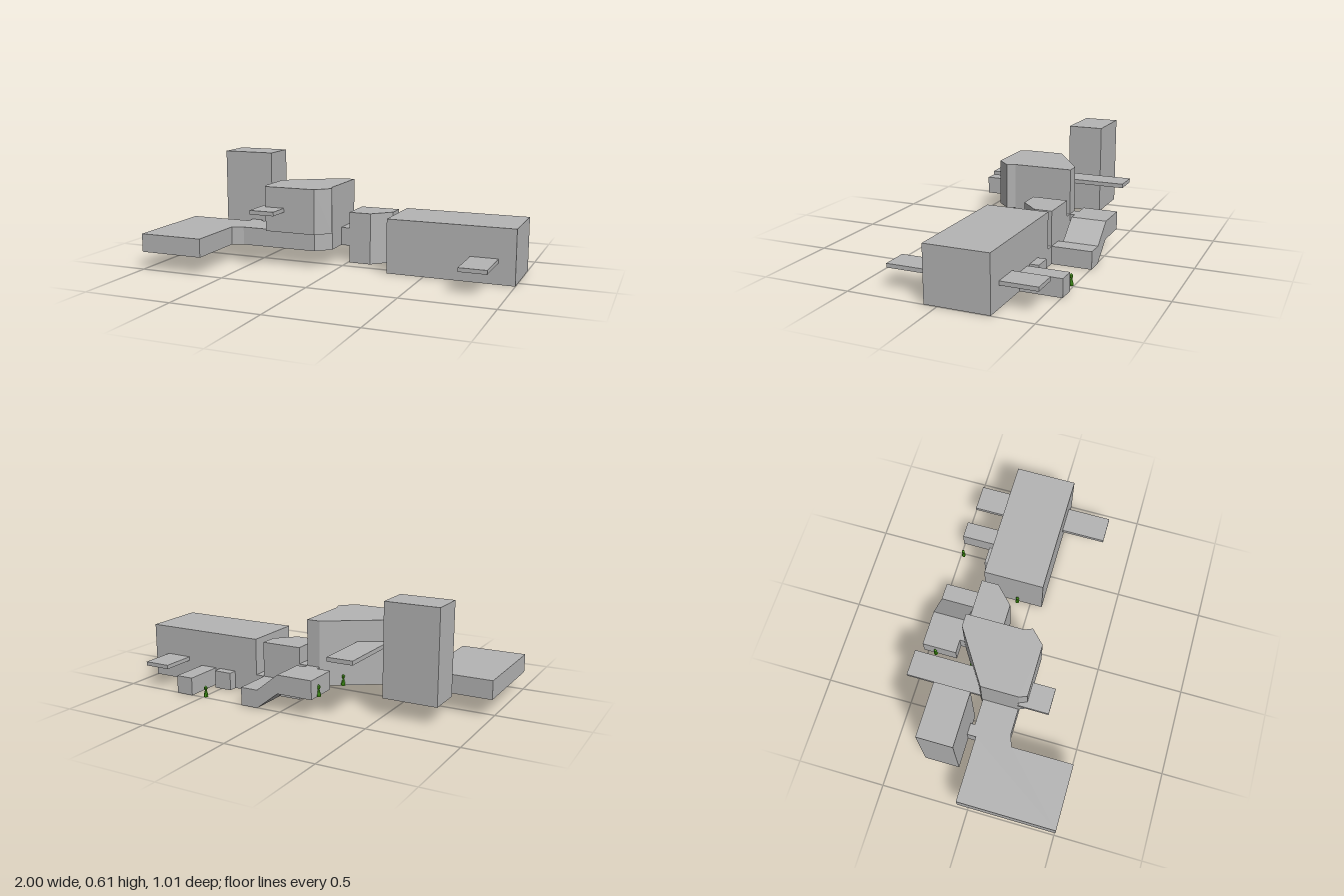
import * as THREE from 'three';

export function createModel() {
  const model = new THREE.Group();
  const grey = new THREE.MeshStandardMaterial({ color: 0xb4b4b4 });
  grey.name = 'wall grey';
  const green = new THREE.MeshStandardMaterial({ color: 0x46a012, flatShading: true });
  green.name = 'marker green';

  function add(name, geometry, material = grey) {
    const mesh = new THREE.Mesh(geometry, material);
    mesh.name = name;
    model.add(mesh);
    return mesh;
  }

  // Box given by its limits on each axis
  function block(name, x0, x1, y0, y1, z0, z1) {
    add(name, new THREE.BoxGeometry(x1 - x0, y1 - y0, z1 - z0))
      .position.set((x0 + x1) / 2, (y0 + y1) / 2, (z0 + z1) / 2);
  }

  // Upright prism over a floor plan of [x, z] corners
  function prism(name, plan, y0, y1) {
    const shape = new THREE.Shape(plan.map(([x, z]) => new THREE.Vector2(x, -z)));
    const geometry = new THREE.ExtrudeGeometry(shape, { depth: y1 - y0, bevelEnabled: false });
    geometry.rotateX(-Math.PI / 2).translate(0, y0, 0);
    add(name, geometry);
  }

  // Large hall with its two thin ledges and back alcoves
  block('hall', 0.29, 1, 0, 0.305, -0.28, 0.072);
  block('hallFrontLedge', 0.757, 0.908, 0.117, 0.139, 0.072, 0.328);
  block('hallBackLedge', 0.757, 0.908, 0.117, 0.139, -0.48, -0.28);
  block('smallAlcove', 0.435, 0.54, 0, 0.1, -0.33, -0.28);
  block('longAlcove', 0.568, 0.668, 0, 0.1, -0.507, -0.28);
  block('hallPassage', 0.24, 0.29, 0, 0.1, -0.28, -0.18);

  // Middle room with one cut corner
  prism('middleRoom', [[0.01, -0.28], [0.24, -0.28], [0.24, -0.18], [0.138, -0.08], [0.01, -0.08]], 0, 0.295);
  block('middlePassage', -0.04, 0.01, 0.1, 0.203, -0.28, -0.08);

  // Central room: wide upper part over a lower part that runs on into the left wing
  prism('centralRoomUpper', [
    [-0.415, -0.085], [-0.115, -0.28], [-0.04, -0.28], [-0.04, 0.053],
    [-0.022, 0.097], [-0.098, 0.173], [-0.397, 0.173], [-0.415, 0.13],
  ], 0.203, 0.457);
  prism('leftWingAndCentralFloor', [
    [-1, -0.055], [-0.63, -0.055], [-0.63, -0.105], [-0.565, -0.105], [-0.565, -0.08],
    [-0.422, -0.08], [-0.115, -0.28], [-0.04, -0.28], [-0.04, 0.053], [-0.118, 0.127],
    [-0.565, 0.127], [-0.63, 0.15], [-0.63, 0.503], [-1, 0.503],
  ], 0.1, 0.203);
  block('centralFrontLedge', -0.43, -0.283, 0.318, 0.341, 0.127, 0.302);
  prism('centralBackLedge', [[-0.43, -0.507], [-0.283, -0.507], [-0.283, -0.16], [-0.43, -0.08]], 0.318, 0.341);

  // Tower
  block('tower', -0.8, -0.498, 0.1, 0.61, -0.303, -0.105);

  // Back corridor: upper landing, sloping ramp, lower landing
  block('corridorNeck', -0.115, -0.04, 0.1, 0.203, -0.31, -0.28);
  block('upperLanding', -0.195, 0.01, 0.1, 0.203, -0.507, -0.308);
  const rampSide = new THREE.Shape([[0.01, 0.1], [0.138, 0], [0.138, 0.1], [0.01, 0.203]]
    .map(([x, y]) => new THREE.Vector2(x, y)));
  add('ramp', new THREE.ExtrudeGeometry(rampSide, { depth: 0.199, bevelEnabled: false }))
    .position.z = -0.507;
  block('lowerLanding', 0.138, 0.238, 0, 0.1, -0.507, -0.28);

  // Small pawn-like markers standing on the floors: [x, floor, z]
  const pawn = new THREE.LatheGeometry(
    [[0, 0], [0.012, 0], [0.012, 0.012], [0.005, 0.038], [0.009, 0.046], [0.009, 0.056], [0, 0.066]]
      .map(([r, y]) => new THREE.Vector2(r, y)), 8);
  const spots = [
    [0.49, 0, -0.485], [0.285, 0, -0.08], [0.4, 0, -0.08], [0.61, 0, -0.06], [0.73, 0, -0.03],
    [-0.197, 0.1, -0.435], [-0.22, 0.1, -0.208], [-0.11, 0.1, -0.14], [-0.24, 0.1, -0.1],
    [-0.44, 0.1, 0], [-0.68, 0.1, 0.01], [-0.71, 0.1, -0.04],
  ];
  for (const [x, y, z] of spots) add('marker', pawn, green).position.set(x, y - 0.001, z);

  return model;
}
